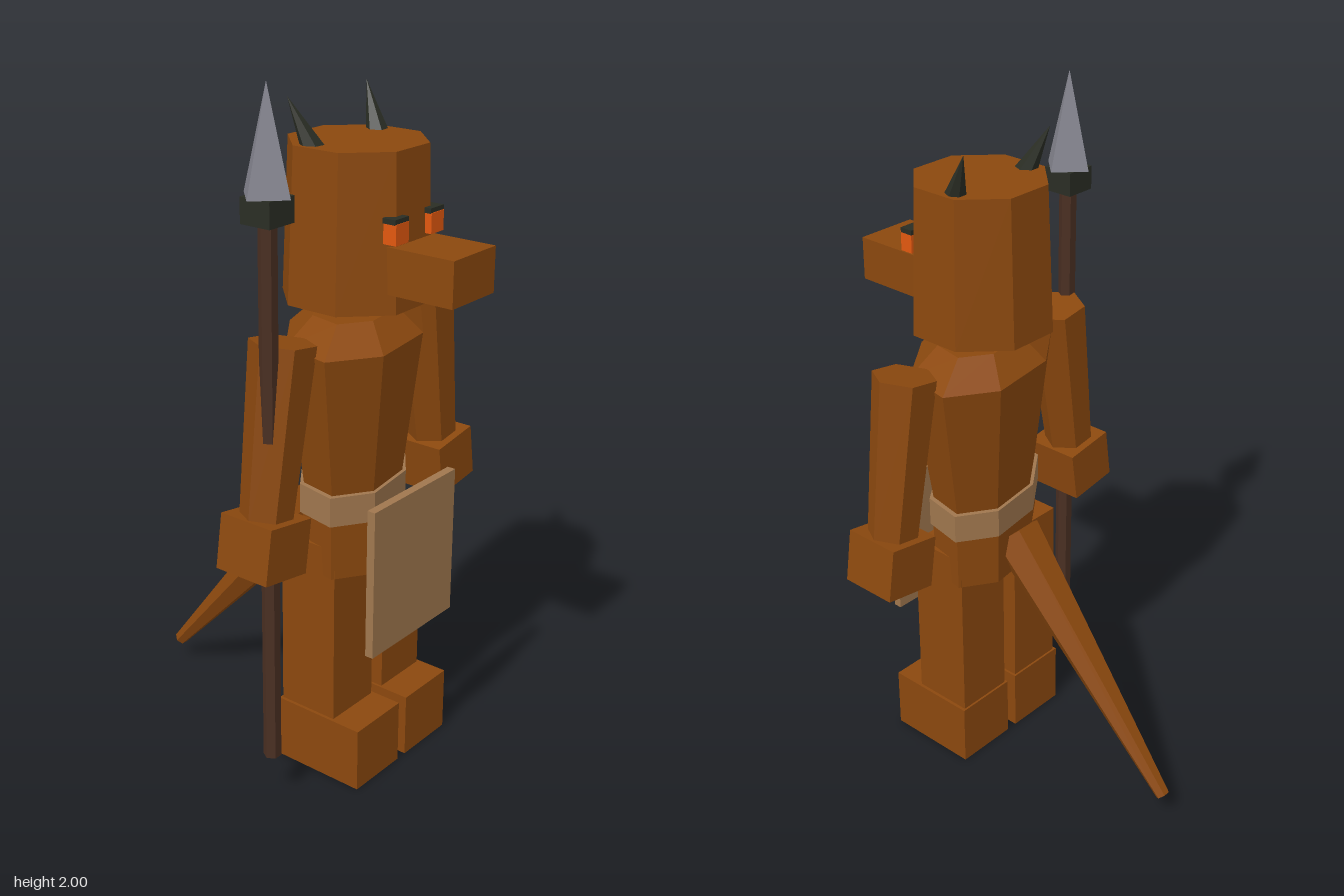
import * as THREE from 'three';

const paint = (name, color) => {
  const m = new THREE.MeshStandardMaterial({ color, flatShading: true });
  m.name = name;
  return m;
};

export function createModel() {
  const model = new THREE.Group();
  model.name = 'spearGuard';
  const hide = paint('brown hide', 0x8b480e);
  const cloth = paint('tan cloth', 0xa0774e);
  const dark = paint('dark horn', 0x2a2d24);
  const wood = paint('dark wood', 0x4a2f22);
  const steel = paint('grey steel', 0x84848e);
  const ember = paint('orange eye', 0xe2580f);
  const Z = 0.173; // depth of the body axis

  const add = (name, geometry, material, x, y, z, parent = model) => {
    const mesh = new THREE.Mesh(geometry, material);
    mesh.name = name;
    mesh.position.set(x, y, z);
    parent.add(mesh);
    return mesh;
  };
  const box = (name, mat, w, h, d, x, y, z, parent) =>
    add(name, new THREE.BoxGeometry(w, h, d), mat, x, y, z, parent);
  // Prism with a flat side facing forward
  const prism = (rTop, rBottom, h, n) =>
    new THREE.CylinderGeometry(rTop, rBottom, h, n).rotateY(Math.PI / n);
  // Tapered prism between two points
  const taper = (name, mat, from, to, r0, r1, n) => {
    const a = new THREE.Vector3(...from), b = new THREE.Vector3(...to);
    const dir = b.clone().sub(a);
    const mid = a.clone().add(b).multiplyScalar(0.5);
    const mesh = add(name, prism(r1, r0, dir.length(), n), mat, mid.x, mid.y, mid.z);
    mesh.quaternion.setFromUnitVectors(new THREE.Vector3(0, 1, 0), dir.normalize());
    return mesh;
  };
  // Oval eight-sided slice of the trunk, turned an eighth of pi
  const slice = (name, mat, y0, y1, s0, s1) => {
    const mesh = add(name, new THREE.CylinderGeometry(s1, s0, y1 - y0, 8), mat, 0, (y0 + y1) / 2, Z);
    mesh.scale.set(0.303, 1, 0.186);
    mesh.rotation.y = Math.PI / 8;
  };

  // Trunk
  slice('hips', hide, 0.635, 0.81, 0.75, 0.76);
  slice('belt', cloth, 0.8, 0.885, 0.8, 0.8);
  slice('chest', hide, 0.83, 1.29, 0.71, 1);
  slice('shoulders', hide, 1.29, 1.355, 1, 0.62);
  box('loincloth', cloth, 0.374, 0.44, 0.025, 0, 0.645, 0.375);

  // Head
  add('neck', prism(0.085, 0.085, 0.12, 6), hide, 0, 1.37, Z);
  add('head', prism(0.19, 0.206, 0.42, 8), hide, 0, 1.59, Z);
  box('snout', hide, 0.187, 0.125, 0.265, 0, 1.4975, 0.4125);

  for (const s of [-1, 1]) {
    // Face details
    box('eye', ember, 0.055, 0.055, 0.04, s * 0.077, 1.597, 0.356);
    box('brow', dark, 0.058, 0.014, 0.04, s * 0.077, 1.63, 0.354);
    taper('horn', dark, [s * 0.135, 1.785, 0.135], [s * 0.165, 1.92, 0.073], 0.032, 0, 6);

    // Arm
    const arm = new THREE.Group();
    arm.name = s > 0 ? 'leftArm' : 'rightArm';
    arm.position.set(s * 0.306, 1.327, Z);
    arm.rotation.z = s * 0.15;
    model.add(arm);
    add('armShaft', prism(0.09, 0.072, 0.48, 6), hide, 0, -0.24, 0, arm);
    box('hand', hide, 0.163, 0.155, 0.173, 0, -0.545, 0, arm);

    // Leg
    box('leg', hide, 0.178, 0.55, 0.185, s * 0.114, 0.445, Z);
    box('foot', hide, 0.195, 0.19, 0.286, s * 0.115, 0.095, 0.217);
  }

  // Tail
  taper('tail', hide, [0, 0.74, 0.055], [0, 0.072, -0.525], 0.078, 0.021, 6);

  // Spear
  const sx = -0.386, sz = 0.195;
  add('spearShaft', prism(0.025, 0.025, 1.54, 6), wood, sx, 0.91, sz);
  box('spearCollar', dark, 0.094, 0.068, 0.094, sx, 1.691, sz);
  add('spearHead', new THREE.ConeGeometry(0.075, 0.275, 4), steel, sx, 1.8625, sz);

  return model;
}
